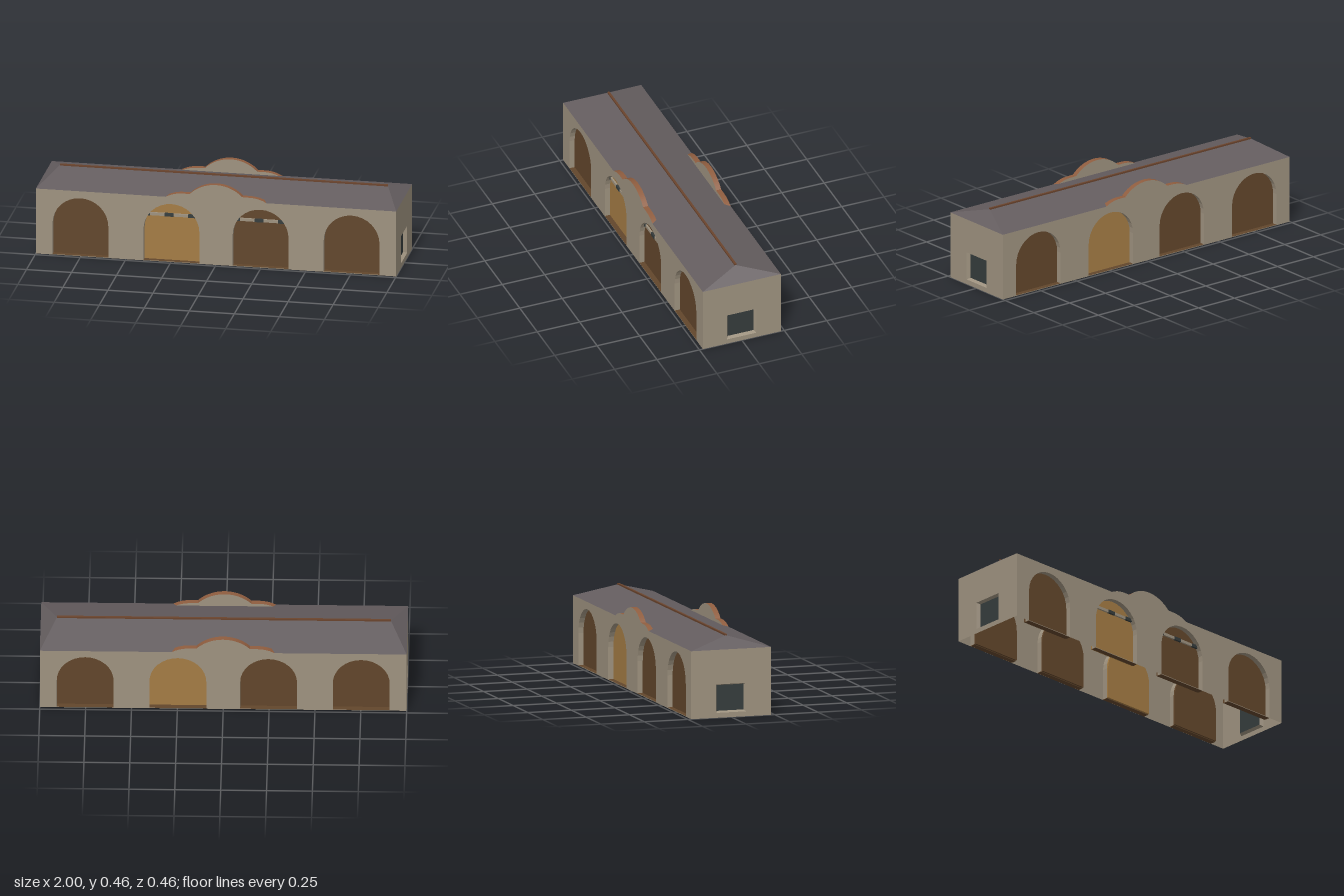
import * as THREE from 'three';

const W = 1, D = 0.23, H = 0.375;          // half length, half depth, wall height
const RECESS = 0.03;                       // depth of door and window recesses

const mat = (name, color, side = THREE.FrontSide) => {
  const m = new THREE.MeshStandardMaterial({ color, side });
  m.name = name;
  return m;
};

// Flat-shaded closed band between two loops of points
function band(a, b, closed = true) {
  const pos = [];
  const n = closed ? a.length : a.length - 1;
  for (let i = 0; i < n; i++) {
    const j = (i + 1) % a.length;
    for (const p of [a[i], a[j], b[j], a[i], b[j], b[i]]) pos.push(p.x, p.y, p.z);
  }
  const g = new THREE.BufferGeometry();
  g.setAttribute('position', new THREE.Float32BufferAttribute(pos, 3));
  g.computeVertexNormals();
  return g;
}

const at = (pts, z) => pts.map(p => new THREE.Vector3(p.x, p.y, z));

// Outline of a round-topped doorway, from the left foot over to the right foot
function archPoints(cx, r = 0.155, spring = 0.18) {
  const pts = [new THREE.Vector2(cx + r, 0.003)];
  for (let i = 0; i <= 16; i++) {
    const a = (i / 16) * Math.PI;
    pts.push(new THREE.Vector2(cx + r * Math.cos(a), spring + r * Math.sin(a)));
  }
  pts.push(new THREE.Vector2(cx - r, 0.003));
  return pts;
}

const rectPoints = (hw, y0, y1) => [[-hw, y0], [hw, y0], [hw, y1], [-hw, y1]]
  .map(([x, y]) => new THREE.Vector2(x, y));

export function createModel() {
  const stone = mat('stone', 0x9e927f, THREE.DoubleSide);
  const roofing = mat('slate roof', 0x645d5f, THREE.DoubleSide);
  const brown = mat('brown door', 0x62462b);
  const gold = mat('golden door', 0xa47c44);
  const glass = mat('dark glass', 0x353c3c, THREE.DoubleSide);
  const clay = mat('clay coping', 0x8f5d3f);
  const ridgeClay = mat('ridge clay', 0x6b442d);

  const model = new THREE.Group();
  const add = (parent, name, geo, material, x = 0, y = 0, z = 0) => {
    const m = new THREE.Mesh(geo, material);
    m.name = name;
    m.position.set(x, y, z);
    parent.add(m);
    return m;
  };

  // Curved gable crest: shoulders and a central hump, with clay on its edge
  const crest = new THREE.Shape();
  crest.moveTo(-0.28, H);
  crest.quadraticCurveTo(-0.24, 0.398, -0.19, 0.4);
  crest.lineTo(-0.145, 0.4);
  const R = 0.205, a0 = Math.asin(0.145 / R);
  crest.absarc(0, 0.461 - R, R, Math.PI / 2 + a0, Math.PI / 2 - a0, true);
  crest.lineTo(0.19, 0.4);
  crest.quadraticCurveTo(0.24, 0.398, 0.28, H);
  const crestGeo = new THREE.ExtrudeGeometry(crest, {
    depth: RECESS, bevelEnabled: false, curveSegments: 14,
  });

  // Long walls; the back is the front turned half round
  for (const [name, turn] of [['front', 0], ['back', Math.PI]]) {
    const side = new THREE.Group();
    side.name = name + 'Side';
    side.rotation.y = turn;
    model.add(side);

    const wall = new THREE.Shape(rectPoints(W, 0, H));
    for (const cx of [-0.7525, -0.2475, 0.2475, 0.7525]) {
      const pts = archPoints(cx);
      wall.holes.push(new THREE.Path(pts));
      add(side, 'doorReveal', band(at(pts, D), at(pts, D - RECESS), false), stone);
      const door = new THREE.ExtrudeGeometry(new THREE.Shape(pts), {
        depth: 0.01, bevelEnabled: false,
      });
      add(side, 'door', door, cx === -0.2475 ? gold : brown, 0, 0, D - RECESS - 0.01);
      add(side, 'threshold', new THREE.BoxGeometry(0.31, 0.003, RECESS), brown,
        cx, 0.0015, D - RECESS / 2 - 0.0005);
    }
    add(side, 'wall', new THREE.ShapeGeometry(wall), stone, 0, 0, D);
    add(side, 'gableCrest', crestGeo, [stone, clay], 0, 0, D - RECESS);
  }

  // End walls with a splayed, recessed window
  for (const s of [1, -1]) {
    const end = new THREE.Group();
    end.name = s > 0 ? 'leftEnd' : 'rightEnd';
    end.rotation.y = s * Math.PI / 2;
    model.add(end);

    const outer = rectPoints(0.087, 0.027, 0.184);
    const inner = rectPoints(0.077, 0.035, 0.177);
    const wall = new THREE.Shape(rectPoints(D, 0, H));
    wall.holes.push(new THREE.Path(outer));
    add(end, 'endWall', new THREE.ShapeGeometry(wall), stone, 0, 0, W);
    add(end, 'windowReveal', band(at(outer, W), at(inner, W - 0.02)), stone);
    add(end, 'windowPane', new THREE.ShapeGeometry(new THREE.Shape(inner)), glass, 0, 0, W - 0.02);
  }

  // Hipped roof and ridge cap
  const eaves = [[-W, D], [W, D], [W, -D], [-W, -D]].map(([x, z]) => new THREE.Vector3(x, H, z));
  const ridge = [-0.91, 0.91, 0.91, -0.91].map(x => new THREE.Vector3(x, 0.438, 0));
  add(model, 'roof', band(eaves, ridge), roofing);
  add(model, 'ridgeCap', new THREE.BoxGeometry(1.82, 0.012, 0.012), ridgeClay, 0, 0.439, 0);

  // Two rails with dark blocks, behind the middle front doorways
  for (const cx of [0.235, -0.265]) {
    add(model, 'rail', new THREE.BoxGeometry(0.46, 0.016, 0.06), stone, cx, 0.264, 0.18);
    for (const dx of [-0.13, 0, 0.13]) {
      add(model, 'railBlock', new THREE.BoxGeometry(0.048, 0.018, 0.064), glass, cx + dx, 0.264, 0.18);
    }
  }
  return model;
}
